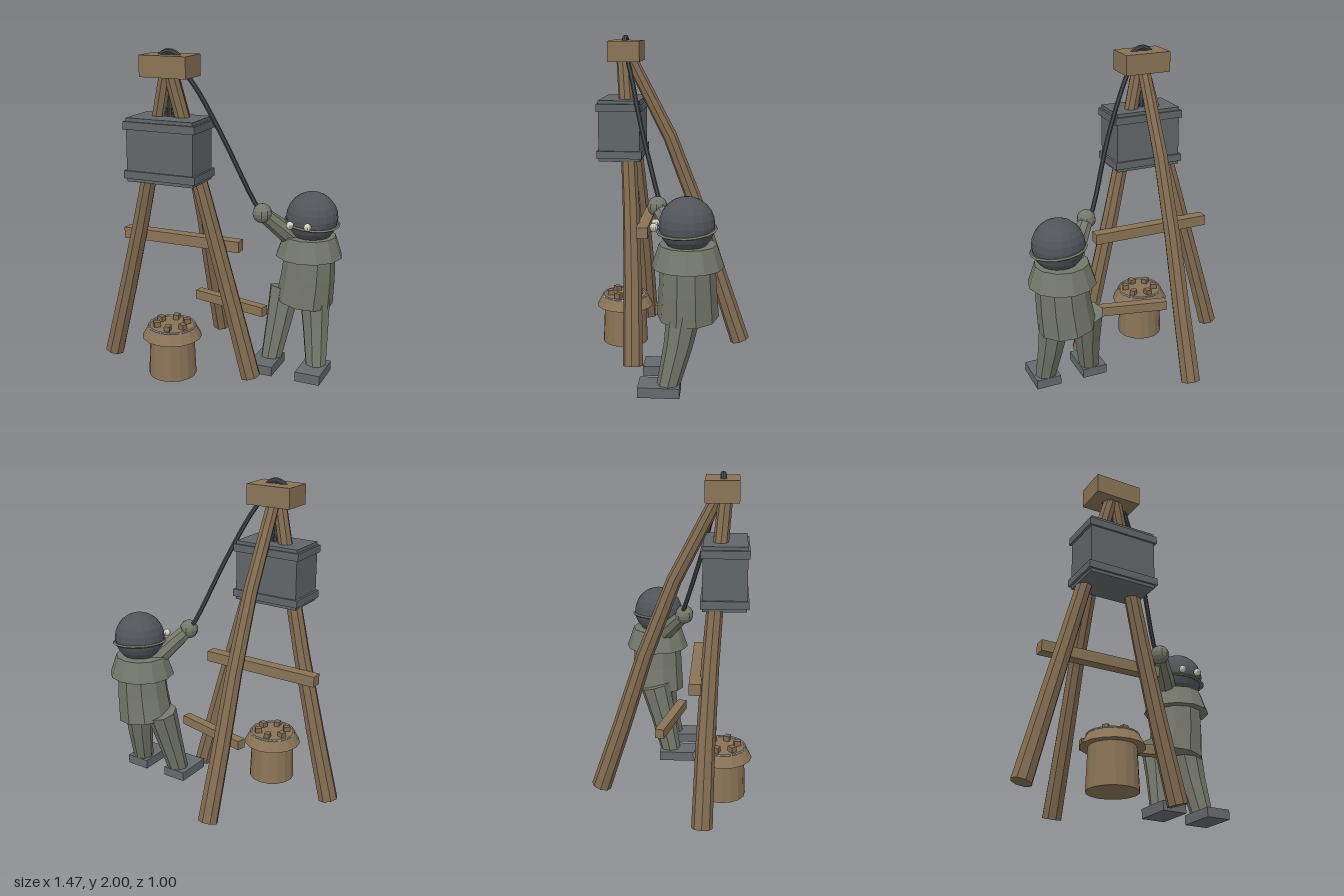
import * as THREE from 'three';

const mat = (name, color) => {
  const m = new THREE.MeshStandardMaterial({ color, flatShading: true });
  m.name = name;
  return m;
};
const V = (p) => new THREE.Vector3(...p);

// Tapered limb: rings around a smooth path, radius r0 to r1, capped at both ends
function limb(points, r0, r1, sides, rows) {
  const curve = new THREE.CatmullRomCurve3(points.map(V));
  const geo = new THREE.CylinderGeometry(1, 1, 1, sides, rows);
  const pos = geo.attributes.position;
  const up = new THREE.Vector3(0, 1, 0), q = new THREE.Quaternion(), v = new THREE.Vector3();
  for (let i = 0; i < pos.count; i++) {
    v.fromBufferAttribute(pos, i);
    const t = v.y + 0.5, r = r0 + (r1 - r0) * t;
    q.setFromUnitVectors(up, curve.getTangent(t));
    v.set(v.x * r, 0, v.z * r).applyQuaternion(q).add(curve.getPoint(t));
    pos.setXYZ(i, v.x, v.y, v.z);
  }
  geo.computeVertexNormals();
  return geo;
}

export function createModel() {
  const wood = mat('wood', 0x8a7457);
  const legWood = mat('legWood', 0x826c52);
  const iron = mat('iron', 0x616669);
  const rope = mat('rope', 0x42474b);
  const helmet = mat('helmet', 0x51555a);
  const cloth = mat('cloth', 0x75786b);
  const bootGrey = mat('bootGrey', 0x666a6d);
  const pale = mat('pale', 0xd6d0be);
  const steel = mat('steel', 0xa3a6a3);

  const root = new THREE.Group();
  const add = (parent, name, geo, m, p = [0, 0, 0]) => {
    const mesh = new THREE.Mesh(geo, m);
    mesh.name = name;
    mesh.position.set(...p);
    parent.add(mesh);
    return mesh;
  };
  const group = (name) => {
    const g = new THREE.Group();
    g.name = name;
    root.add(g);
    return g;
  };
  const box = (w, h, d) => new THREE.BoxGeometry(w, h, d);
  const cx = -0.193;

  // Tripod
  const tripod = group('tripod');
  for (const s of [-1, 1]) {
    add(tripod, 'frontLeg', limb([
      [cx + s * 0.482, 0.015, 0.215], [cx + s * 0.32, 0.63, 0.232],
      [cx + s * 0.165, 1.235, 0.265], [cx + s * 0.012, 1.87, 0.318]], 0.062, 0.042, 8, 4), legWood);
  }
  add(tripod, 'rearLeg', limb([
    [cx, 0.02, -0.437], [cx, 0.6, -0.245], [cx, 1.2, -0.05], [cx, 1.87, 0.28]], 0.062, 0.04, 8, 4), legWood);
  add(tripod, 'headBlock', box(0.295, 0.125, 0.197), wood, [cx, 1.903, 0.299]);
  add(tripod, 'frontCrossbar', box(0.78, 0.068, 0.07), wood, [cx, 0.83, 0.165]);
  add(tripod, 'sideCrossbar', box(0.52, 0.06, 0.058), wood, [0.058, 0.385, -0.01]).rotation.y = -0.225;

  // Pulley ring and rope
  const tackle = group('tackle');
  add(tackle, 'pulleyRing', new THREE.TorusGeometry(0.077, 0.018, 8, 18), rope, [cx, 1.906, 0.303]);
  add(tackle, 'hangingRope', new THREE.CylinderGeometry(0.015, 0.015, 0.28, 6), rope, [cx, 1.72, 0.303]);
  add(tackle, 'weightRing', new THREE.TorusGeometry(0.032, 0.011, 6, 12), rope, [cx, 1.64, 0.303]);
  const line = new THREE.CatmullRomCurve3([
    [-0.125, 1.9, 0.295], [-0.04, 1.76, 0.25], [0.09, 1.48, 0.18], [0.25, 1.07, 0.06], [0.29, 1.01, 0.04]].map(V));
  add(tackle, 'pullRope', new THREE.TubeGeometry(line, 12, 0.014, 6), rope);

  // Hanging weight with two raised bands
  const weight = group('weight');
  add(weight, 'weightBody', box(0.425, 0.375, 0.255), iron, [cx, 1.423, 0.322]);
  for (const y of [1.567, 1.278]) add(weight, 'weightBand', box(0.455, 0.046, 0.278), iron, [cx, y, 0.322]);

  // Tub with a flared collar, metal hoop and wooden pegs
  const tub = group('tub');
  tub.position.set(cx, 0, 0.322);
  add(tub, 'tubBody', new THREE.CylinderGeometry(0.137, 0.148, 0.25, 16), wood, [0, 0.125, 0]);
  add(tub, 'tubCollar', new THREE.CylinderGeometry(0.147, 0.184, 0.067, 16), wood, [0, 0.282, 0]);
  add(tub, 'tubHoop', new THREE.TorusGeometry(0.143, 0.007, 6, 20), steel, [0, 0.317, 0]).rotation.x = Math.PI / 2;
  for (let i = 0; i < 6; i++) {
    const a = i * Math.PI / 3 + 0.35;
    add(tub, 'peg', box(0.042, 0.045, 0.035), legWood,
      [Math.cos(a) * 0.095, 0.325, Math.sin(a) * 0.095]).rotation.y = -a;
  }

  // Figure: coat, cape, legs and boots
  const figure = group('figure');
  add(figure, 'coat', limb([[0.508, 0.43, -0.135], [0.527, 0.59, -0.135], [0.538, 0.77, -0.135]],
    0.178, 0.155, 10, 2), cloth);
  add(figure, 'cape', new THREE.CylinderGeometry(0.163, 0.207, 0.13, 12), cloth, [0.53, 0.795, -0.135]);
  add(figure, 'rightLeg', limb([[0.33, 0.045, -0.03], [0.358, 0.28, -0.085], [0.378, 0.49, -0.14]],
    0.065, 0.1, 8, 2), cloth);
  add(figure, 'leftLeg', limb([[0.628, 0.045, -0.03], [0.602, 0.28, -0.085], [0.58, 0.49, -0.12]],
    0.065, 0.1, 8, 2), cloth);
  for (const x of [0.318, 0.626]) add(figure, 'boot', box(0.157, 0.06, 0.24), bootGrey, [x, 0.03, 0.02]);

  // Raised arm and fist on the rope
  add(figure, 'arm', limb([[0.46, 0.82, -0.11], [0.385, 0.91, -0.03], [0.3, 1.01, 0.05]], 0.068, 0.046, 8, 2), cloth);
  add(figure, 'fist', new THREE.SphereGeometry(0.06, 10, 8), cloth, [0.292, 1.02, 0.06]);

  // Head, brim and eyes
  add(figure, 'head', new THREE.SphereGeometry(0.159, 18, 12), helmet, [0.545, 0.975, -0.13]);
  const brim = add(figure, 'brim', new THREE.TorusGeometry(0.16, 0.014, 5, 16), cloth, [0.545, 0.945, -0.13]);
  brim.rotation.set(Math.PI / 2 + 0.06, -0.09, 0);
  brim.scale.z = 0.6;
  for (const x of [0.467, 0.577]) add(figure, 'eye', new THREE.SphereGeometry(0.024, 10, 8), pale, [x, 0.962, 0.054]);

  return root;
}
